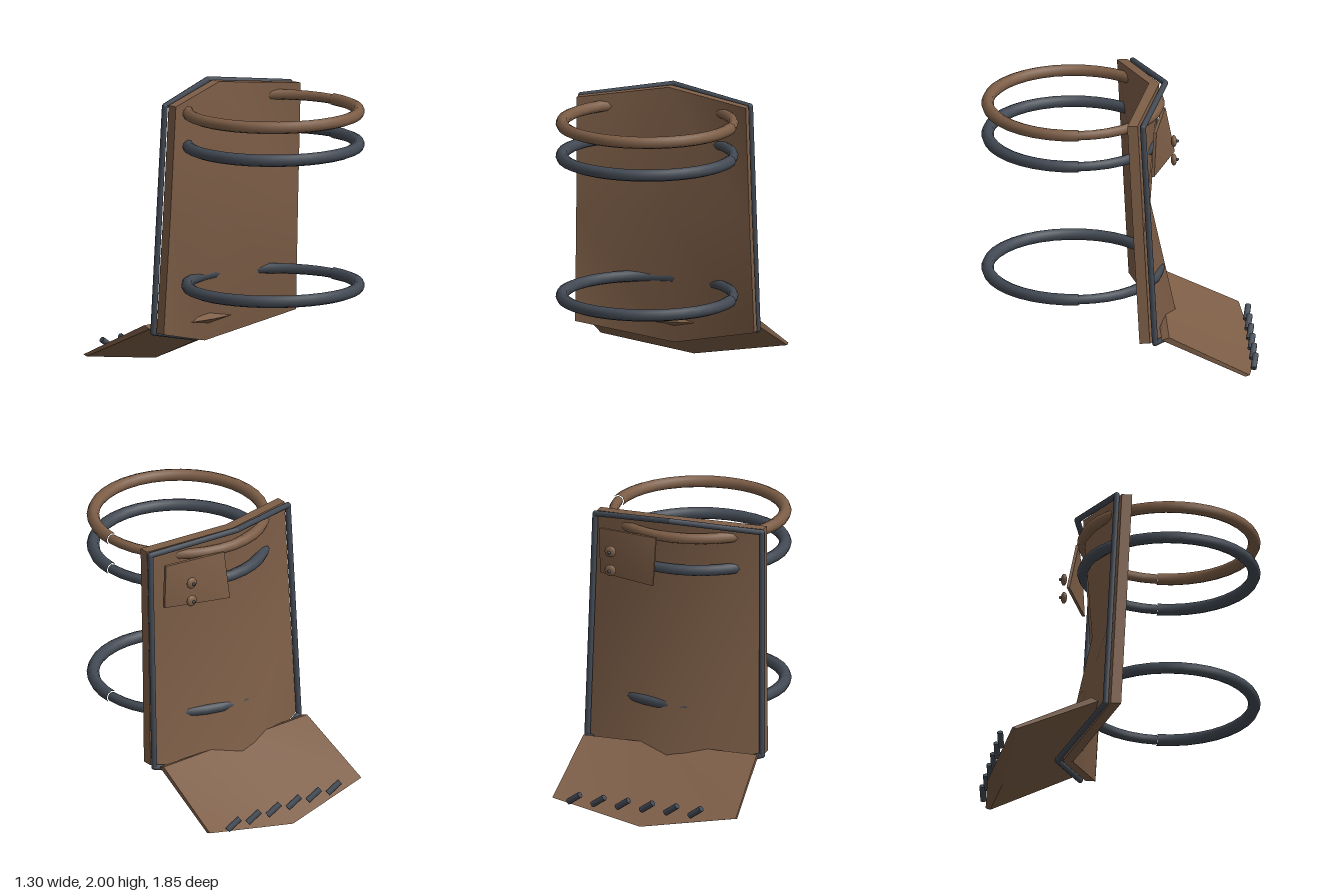
import * as THREE from 'three';
import { mergeGeometries } from 'three/addons/utils/BufferGeometryUtils.js';

const leather = new THREE.MeshStandardMaterial({ color: 0x7d5e47 });
leather.name = 'brownLeather';
const steel = new THREE.MeshStandardMaterial({ color: 0x434a54 });
steel.name = 'slateSteel';

const V = (x, y, z) => new THREE.Vector3(x, y, z);

function add(parent, name, geometry, material) {
  const mesh = new THREE.Mesh(geometry, material);
  mesh.name = name;
  parent.add(mesh);
  return mesh;
}

// Smooth sheet through a grid of points
function sheet(rows, flip) {
  const n = rows[0].length, index = [];
  for (let r = 0; r < rows.length - 1; r++) {
    for (let c = 0; c < n - 1; c++) {
      const a = r * n + c, b = a + n;
      index.push(...(flip ? [a, b + 1, b, a, a + 1, b + 1] : [a, b, b + 1, a, b + 1, a + 1]));
    }
  }
  const g = new THREE.BufferGeometry().setFromPoints(rows.flat());
  g.setIndex(index);
  g.computeVertexNormals();
  return g.toNonIndexed();
}

// Solid slab: face sheet, opposite sheet and a sharp rim joining them
function slab(A, B) {
  const R = A.length - 1, C = A[0].length - 1, loop = [];
  for (let r = 0; r < R; r++) loop.push([r, 0]);
  for (let c = 0; c < C; c++) loop.push([R, c]);
  for (let r = R; r > 0; r--) loop.push([r, C]);
  for (let c = C; c > 0; c--) loop.push([0, c]);
  const pts = [];
  loop.forEach(([r, c], i) => {
    const [s, d] = loop[(i + 1) % loop.length];
    pts.push(A[r][c], B[r][c], B[s][d], A[r][c], B[s][d], A[s][d]);
  });
  const rim = new THREE.BufferGeometry().setFromPoints(pts);
  rim.computeVertexNormals();
  return mergeGeometries([sheet(A, false), sheet(B, true), rim]);
}

// Row of three points mirrored about the centre line
const row = (x, ySide, zSide, yMid, zMid) => [V(-x, ySide, zSide), V(0, yMid, zMid), V(x, ySide, zSide)];

// Straight rod between two points
function rod(parent, name, a, b, radius, material) {
  const d = b.clone().sub(a);
  const mesh = add(parent, name, new THREE.CylinderGeometry(radius, radius, d.length(), 10), material);
  mesh.position.copy(a).add(b).multiplyScalar(0.5);
  mesh.quaternion.setFromUnitVectors(V(0, 1, 0), d.normalize());
}

// Ring whose tube narrows along its rear half, leaving a small step at +x
function hoopGeometry() {
  const R = 0.576, tube = 0.042, around = 36, sides = 8;
  const g = new THREE.TorusGeometry(R, tube, sides, around);
  const p = g.attributes.position;
  for (let i = 0; i < p.count; i++) {
    const t = (i % (around + 1)) / around;
    const k = t < 0.5 ? 1 : 1 - 0.4 * (t - 0.5);
    const cx = R * Math.cos(t * Math.PI * 2), cy = R * Math.sin(t * Math.PI * 2);
    p.setXYZ(i, cx + (p.getX(i) - cx) * k, cy + (p.getY(i) - cy) * k, p.getZ(i) * k);
  }
  return g.rotateX(Math.PI / 2);
}

export function createModel() {
  const model = new THREE.Group();
  model.name = 'backGuard';

  // Main plate, folded along its spine and bent at mid height
  const front = [
    row(0.59, 1.915, -0.02, 1.98, -0.2),
    row(0.605, 1.12, -0.06, 1.12, -0.14),
    row(0.625, 0.35, -0.1, 0.19, -0.34),
  ];
  const back = front.map(r => r.map(p => p.clone().add(V(0, 0, -0.07))));
  add(model, 'backPlate', slab(front, back), leather);

  // Edge trim behind the plate outline
  const trim = new THREE.Group();
  trim.name = 'edgeTrim';
  model.add(trim);
  const outline = [
    V(0, 1.98, -0.31), V(-0.59, 1.905, -0.125), V(-0.62, 0.35, -0.205),
    V(0, 0.195, -0.445), V(0.62, 0.35, -0.205), V(0.59, 1.905, -0.125),
  ];
  outline.forEach((p, i) => {
    rod(trim, 'trimRod', p, outline[(i + 1) % outline.length], 0.02, steel);
    add(trim, 'trimCorner', new THREE.SphereGeometry(0.02, 10, 6), steel).position.copy(p);
  });

  // Hoops
  const hoop = hoopGeometry();
  [['topHoop', 1.85, leather], ['chestHoop', 1.625, steel], ['waistHoop', 0.66, steel]].forEach(([name, y, m]) => {
    add(model, name, hoop, m).position.set(0, y, 0.308);
  });

  // Rear flap
  const flapTop = [
    row(0.65, 0.115, -0.84, 0.01, -0.92),
    row(0.615, 0.385, -0.3, 0.385, -0.3),
  ];
  const flapUnder = [
    row(0.65, 0.105, -0.81, 0.005, -0.81),
    row(0.61, 0.365, -0.25, 0.35, -0.25),
  ];
  add(model, 'rearFlap', slab(flapTop, flapUnder), leather);

  // Slanted pins above the flap edge
  for (let i = 0; i < 6; i++) {
    const x = -0.38 + i * 0.172;
    rod(model, 'flapPin', V(x - 0.045, 0.178, -0.892), V(x + 0.045, 0.112, -0.872), 0.021, steel);
  }

  // Slightly twisted patch on the upper back
  const patch = [
    [V(0.53, 1.84, -0.22), V(0.1, 1.845, -0.305)],
    [V(0.53, 1.52, -0.205), V(0.1, 1.525, -0.368)],
  ];
  add(model, 'backPatch', slab(patch, patch.map(r => r.map(p => p.clone().add(V(0, 0, 0.02))))), leather);

  // Two buttons with small studs
  for (const y of [1.727, 1.593]) {
    const button = add(model, 'button', new THREE.SphereGeometry(0.04, 16, 10), leather);
    button.scale.z = 0.5;
    button.position.set(0.41, y, -0.343);
    add(model, 'buttonStud', new THREE.SphereGeometry(0.011, 8, 6), steel).position.set(0.41, y, -0.367);
  }
  return model;
}
